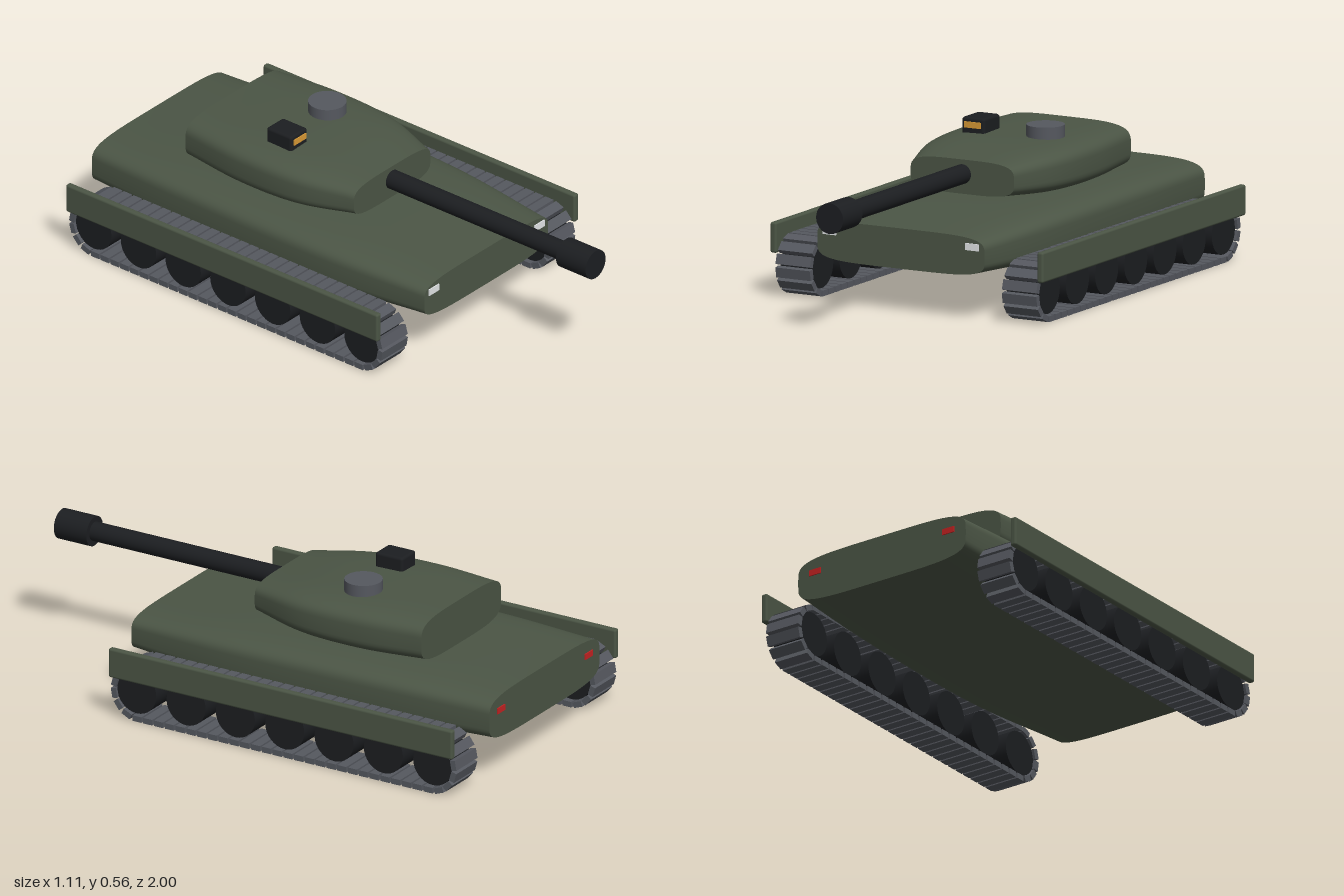
import * as THREE from 'three';
import { RoundedBoxGeometry } from 'three/addons/geometries/RoundedBoxGeometry.js';

const mat = (color) => new THREE.MeshStandardMaterial({ color });
const GREEN = mat(0x4b5545), STEEL = mat(0x55585f), BLACK = mat(0x1c1e21);
const AMBER = mat(0xd99a35), WHITE = mat(0xe4e6e8), RED = mat(0xc42222);

function add(parent, name, geometry, material, x = 0, y = 0, z = 0) {
  const mesh = new THREE.Mesh(geometry, material);
  mesh.name = name;
  mesh.position.set(x, y, z);
  parent.add(mesh);
  return mesh;
}

// Closed superellipse loft along z; stations are [z, halfWidth, bottom, top]
function loft(stations, power, steps = 24, sides = 72) {
  const pos = [], idx = [];
  const width = new THREE.CatmullRomCurve3(stations.map(([z, w]) => new THREE.Vector3(w, 0, z)));
  const height = new THREE.CatmullRomCurve3(stations.map(([z, , b, t]) => new THREE.Vector3(b, t, z)));
  const ring = (t) => {
    const w = width.getPoint(t), h = height.getPoint(t);
    const cy = (h.x + h.y) / 2, hh = (h.y - h.x) / 2;
    for (let j = 0; j < sides; j++) {
      const a = (j / sides) * Math.PI * 2, c = Math.cos(a), s = Math.sin(a);
      pos.push(w.x * Math.sign(c) * Math.abs(c) ** (2 / power),
        cy + hh * Math.sign(s) * Math.abs(s) ** (2 / power), w.z);
    }
    return [0, cy, w.z];
  };
  for (let i = 0; i <= steps; i++) ring(i / steps);
  for (let i = 0; i < steps; i++) {
    for (let j = 0; j < sides; j++) {
      const k = (j + 1) % sides, a = i * sides, b = a + sides;
      idx.push(a + j, a + k, b + k, a + j, b + k, b + j);
    }
  }
  // flat end caps with their own vertices
  for (const t of [0, 1]) {
    const start = pos.length / 3;
    pos.push(...ring(t));
    const centre = start + sides;
    for (let j = 0; j < sides; j++) {
      const k = (j + 1) % sides;
      if (t) idx.push(centre, start + j, start + k);
      else idx.push(centre, start + k, start + j);
    }
  }
  const g = new THREE.BufferGeometry();
  g.setAttribute('position', new THREE.Float32BufferAttribute(pos, 3));
  g.setIndex(idx);
  g.computeVertexNormals();
  return g;
}

// Track loop: links around a stadium, road wheels inside, skirt outside
function trackUnit(side) {
  const unit = new THREE.Group();
  unit.name = side > 0 ? 'leftTrack' : 'rightTrack';
  const x = side * 0.46, cy = 0.1075, r = 0.0965, front = 0.358, back = -0.858;
  const straight = front - back, arc = Math.PI * r, total = 2 * (straight + arc), count = 68;

  const linkGeo = new THREE.BoxGeometry(0.14, 0.021, 0.037);
  for (let i = 0; i < count; i++) {
    let d = (i / count) * total, z, y, angle;
    if (d < straight) {
      [z, y, angle] = [back + d, cy + r, 0];
    } else if ((d -= straight) < arc) {
      angle = d / r;
      [z, y] = [front + r * Math.sin(angle), cy + r * Math.cos(angle)];
    } else if ((d -= arc) < straight) {
      [z, y, angle] = [front - d, cy - r, Math.PI];
    } else {
      angle = Math.PI + (d - straight) / r;
      [z, y] = [back + r * Math.sin(angle), cy + r * Math.cos(angle)];
    }
    add(unit, 'trackLink', linkGeo, STEEL, x, y, z).rotation.x = angle;
  }

  const wheelGeo = new THREE.CylinderGeometry(0.081, 0.081, 0.12, 32).rotateZ(Math.PI / 2);
  for (let i = 0; i < 7; i++) {
    add(unit, 'roadWheel', wheelGeo, BLACK, x, 0.109, 0.365 - i * 0.2045);
  }
  add(unit, 'sideSkirt', new RoundedBoxGeometry(0.025, 0.11, 1.425, 3, 0.008), GREEN,
    side * 0.542, 0.211, -0.25);
  return unit;
}

export function createModel() {
  const model = new THREE.Group();
  model.name = 'tank';

  // Hull
  add(model, 'hull', loft([
    [-1, 0.365, 0.155, 0.328], [-0.6, 0.384, 0.142, 0.338],
    [0.05, 0.384, 0.14, 0.332], [0.5, 0.34, 0.16, 0.305],
  ], 4.5), GREEN);

  // Turret
  const turret = new THREE.Group();
  turret.name = 'turret';
  model.add(turret);
  add(turret, 'turretShell', loft([
    [-0.655, 0.265, 0.343, 0.508], [-0.4, 0.289, 0.334, 0.51],
    [-0.15, 0.277, 0.338, 0.502], [0.07, 0.21, 0.355, 0.478],
  ], 4), GREEN);

  // Gun
  const rod = (r, len) => new THREE.CylinderGeometry(r, r, len, 32).rotateX(Math.PI / 2);
  add(turret, 'gunBarrel', rod(0.035, 0.9), BLACK, 0, 0.426, 0.45);
  add(turret, 'muzzle', rod(0.055, 0.135), BLACK, 0, 0.426, 0.9325);

  // Roof fittings
  add(turret, 'hatch', new THREE.CylinderGeometry(0.068, 0.068, 0.06, 32), STEEL, 0.112, 0.519, -0.32);
  add(turret, 'sightBox', new RoundedBoxGeometry(0.092, 0.07, 0.114, 3, 0.01), BLACK, -0.137, 0.525, -0.297);
  add(turret, 'sightLens', new THREE.BoxGeometry(0.066, 0.022, 0.008), AMBER, -0.137, 0.534, -0.24);

  // Lights and running gear on both sides
  for (const side of [1, -1]) {
    add(model, 'headlight', new THREE.BoxGeometry(0.055, 0.025, 0.012), WHITE, side * 0.29, 0.267, 0.498);
    add(model, 'tailLight', new THREE.BoxGeometry(0.05, 0.022, 0.012), RED, side * 0.29, 0.267, -0.998);
    model.add(trackUnit(side));
  }
  return model;
}
